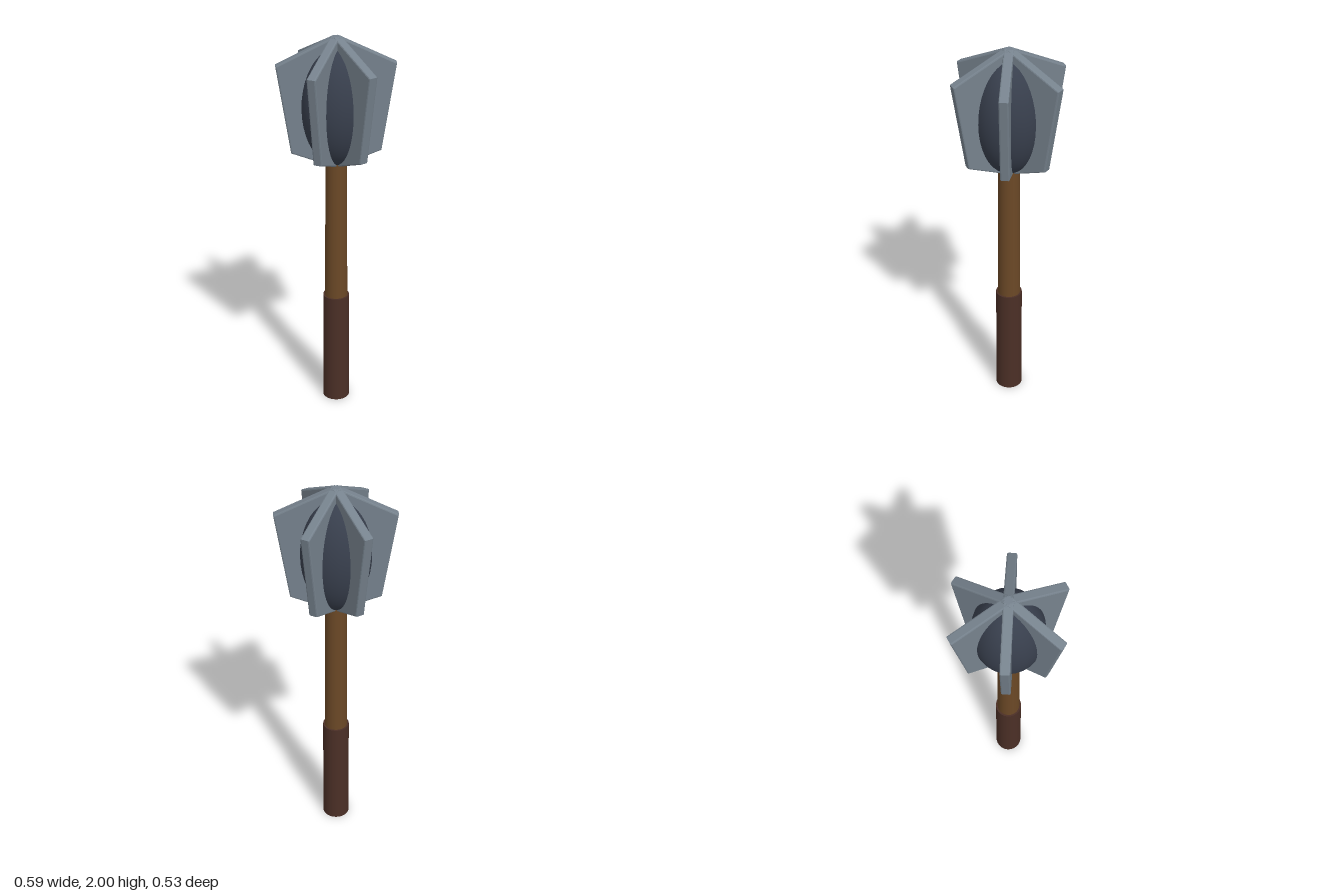
import * as THREE from 'three';

const mat = (name, color) => {
  const m = new THREE.MeshStandardMaterial({ color });
  m.name = name;
  return m;
};

export function createModel() {
  const steel = mat('steel', 0x76828d);
  const darkIron = mat('dark iron', 0x383f4d);
  const wood = mat('wood', 0x6b4826);
  const leather = mat('leather', 0x4b2f26);

  const mace = new THREE.Group();
  mace.name = 'flangedMace';
  const add = (name, geometry, material, y = 0) => {
    const mesh = new THREE.Mesh(geometry, material);
    mesh.name = name;
    mesh.position.y = y;
    mace.add(mesh);
    return mesh;
  };

  // Handle: leather grip below a slightly tapered wooden shaft
  add('grip', new THREE.CylinderGeometry(0.068, 0.071, 0.615, 24), leather, 0.3075);
  add('shaft', new THREE.CylinderGeometry(0.053, 0.061, 1.0, 24), wood, 0.9);

  // Egg-shaped core of the head
  const core = new THREE.SphereGeometry(1, 28, 20);
  core.scale(0.174, 0.302, 0.174);
  add('headCore', core, darkIron, 1.65);

  // Six bevelled flanges radiating from the axis
  const outline = new THREE.Shape([
    [-0.012, 1.338], [0.03, 1.346], [0.224, 1.42], [0.293, 1.866], [0.014, 2.0], [-0.012, 2.0],
  ].map(([x, y]) => new THREE.Vector2(x, y)));
  const bevel = 0.007;
  const thickness = 0.047;
  const blade = new THREE.ExtrudeGeometry(outline, {
    depth: thickness - 2 * bevel,
    bevelEnabled: true,
    bevelSize: bevel,
    bevelOffset: -bevel,
    bevelThickness: bevel,
    bevelSegments: 2,
  });
  blade.translate(0, 0, -(thickness / 2 - bevel));
  for (let i = 0; i < 6; i++) {
    add(`flange${i + 1}`, blade, steel).rotation.y = i * Math.PI / 3;
  }
  return mace;
}
